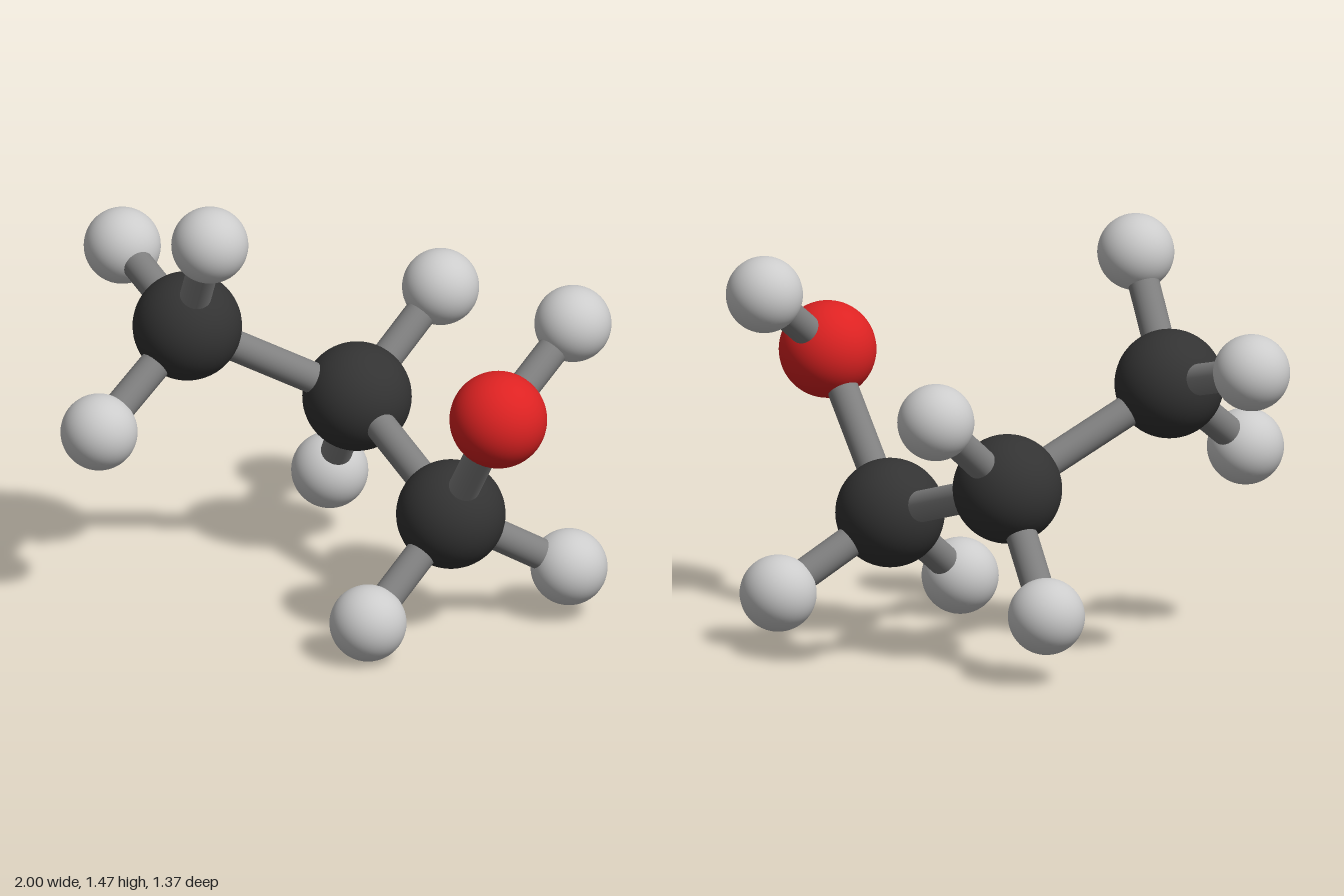
import * as THREE from 'three';

// Atom kinds: radius and colour
const KINDS = {
  carbon: { radius: 0.186, color: 0x333333 },
  oxygen: { radius: 0.166, color: 0xdd2222 },
  hydrogen: { radius: 0.131, color: 0xcccccc },
};

// Each atom: name, kind, centre, and the atom it is bonded to
const ATOMS = [
  ['endCarbon', 'carbon', [-0.54, 0.937, 0.065], null],
  ['middleCarbon', 'carbon', [-0.027, 0.621, -0.23], 'endCarbon'],
  ['frontCarbon', 'carbon', [0.438, 0.422, 0.215], 'middleCarbon'],
  ['oxygen', 'oxygen', [0.693, 0.917, 0.506], 'frontCarbon'],
  ['oxygenHydrogen', 'hydrogen', [0.867, 1.17, 0.203], 'oxygen'],
  ['endHydrogenTop', 'hydrogen', [-0.394, 1.341, 0.287], 'endCarbon'],
  ['endHydrogenBack', 'hydrogen', [-0.869, 1.061, -0.266], 'endCarbon'],
  ['endHydrogenFront', 'hydrogen', [-0.755, 0.652, 0.392], 'endCarbon'],
  ['middleHydrogenTop', 'hydrogen', [0.173, 0.919, -0.552], 'middleCarbon'],
  ['middleHydrogenBottom', 'hydrogen', [-0.194, 0.236, -0.466], 'middleCarbon'],
  ['frontHydrogenFront', 'hydrogen', [0.245, 0.133, 0.551], 'frontCarbon'],
  ['frontHydrogenSide', 'hydrogen', [0.79, 0.181, -0.008], 'frontCarbon'],
];

const BOND_RADIUS = 0.054;
const UP = new THREE.Vector3(0, 1, 0);

export function createModel() {
  const model = new THREE.Group();
  model.name = 'molecule';
  const bondMaterial = new THREE.MeshStandardMaterial({ color: 0x808080 });
  const styles = {};
  for (const [kind, { radius, color }] of Object.entries(KINDS)) {
    styles[kind] = {
      geometry: new THREE.SphereGeometry(radius, 48, 32),
      material: new THREE.MeshStandardMaterial({ color }),
    };
  }

  const centres = {};
  for (const [name, kind, position, parent] of ATOMS) {
    // Ball
    const atom = new THREE.Mesh(styles[kind].geometry, styles[kind].material);
    atom.name = name;
    atom.position.set(...position);
    centres[name] = atom.position;
    model.add(atom);
    if (!parent) continue;

    // Stick running from the parent atom's centre to this one
    const span = atom.position.clone().sub(centres[parent]);
    const bond = new THREE.Mesh(
      new THREE.CylinderGeometry(BOND_RADIUS, BOND_RADIUS, span.length(), 32),
      bondMaterial,
    );
    bond.name = `${name}Bond`;
    bond.position.copy(centres[parent]).addScaledVector(span, 0.5);
    bond.quaternion.setFromUnitVectors(UP, span.normalize());
    model.add(bond);
  }
  return model;
}
